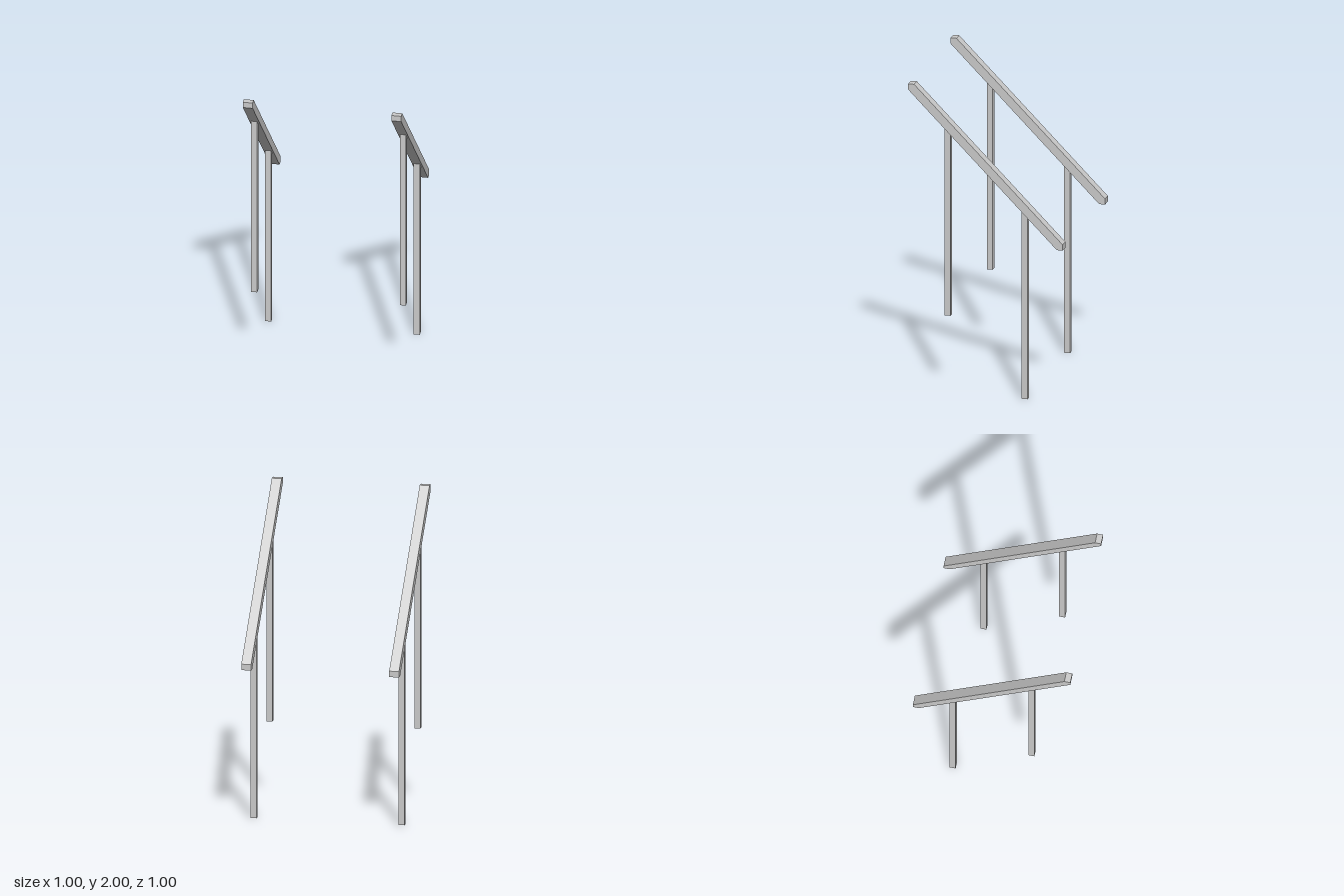
import * as THREE from 'three';

const RAIL_X = 0.469, RAIL_W = 0.062, POST_W = 0.038;
const CUT = 0.038;            // flat trimmed at each rail end
const UNDER = 1.5 - CUT;      // rail underside follows y = z + UNDER

const material = new THREE.MeshStandardMaterial({ color: 0xcccccc, flatShading: true });

// Extrude a side profile of [z, y] points across x, centred on x = 0
function sideProfile(name, points, width) {
  const shape = new THREE.Shape(points.map(([z, y]) => new THREE.Vector2(-z, y)));
  const geometry = new THREE.ExtrudeGeometry(shape, { depth: width, bevelEnabled: false });
  geometry.translate(0, 0, -width / 2);
  geometry.rotateY(Math.PI / 2);
  const mesh = new THREE.Mesh(geometry, material);
  mesh.name = name;
  return mesh;
}

// Upright with its top mitred to the slope of the rail
function post(name, z, foot) {
  const front = z + POST_W / 2, back = z - POST_W / 2;
  return sideProfile(name, [
    [front, foot], [back, foot], [back, back + UNDER], [front, front + UNDER],
  ], POST_W);
}

function handrail(name, x) {
  const group = new THREE.Group();
  group.name = name;
  // Sloping rail with plumb and level cuts at both ends
  group.add(sideProfile('rail', [
    [0.5, 2], [0.5, 2 - CUT], [-0.5 + CUT, 1],
    [-0.5, 1], [-0.5, 1 + CUT], [0.5 - CUT, 2],
  ], RAIL_W));
  // Front post stands one step higher than the back post
  group.add(post('frontPost', 0.25, 0.5), post('backPost', -0.25, 0));
  group.position.x = x;
  return group;
}

export function createModel() {
  const model = new THREE.Group();
  model.name = 'stairHandrails';
  model.add(handrail('leftHandrail', RAIL_X), handrail('rightHandrail', -RAIL_X));
  return model;
}
